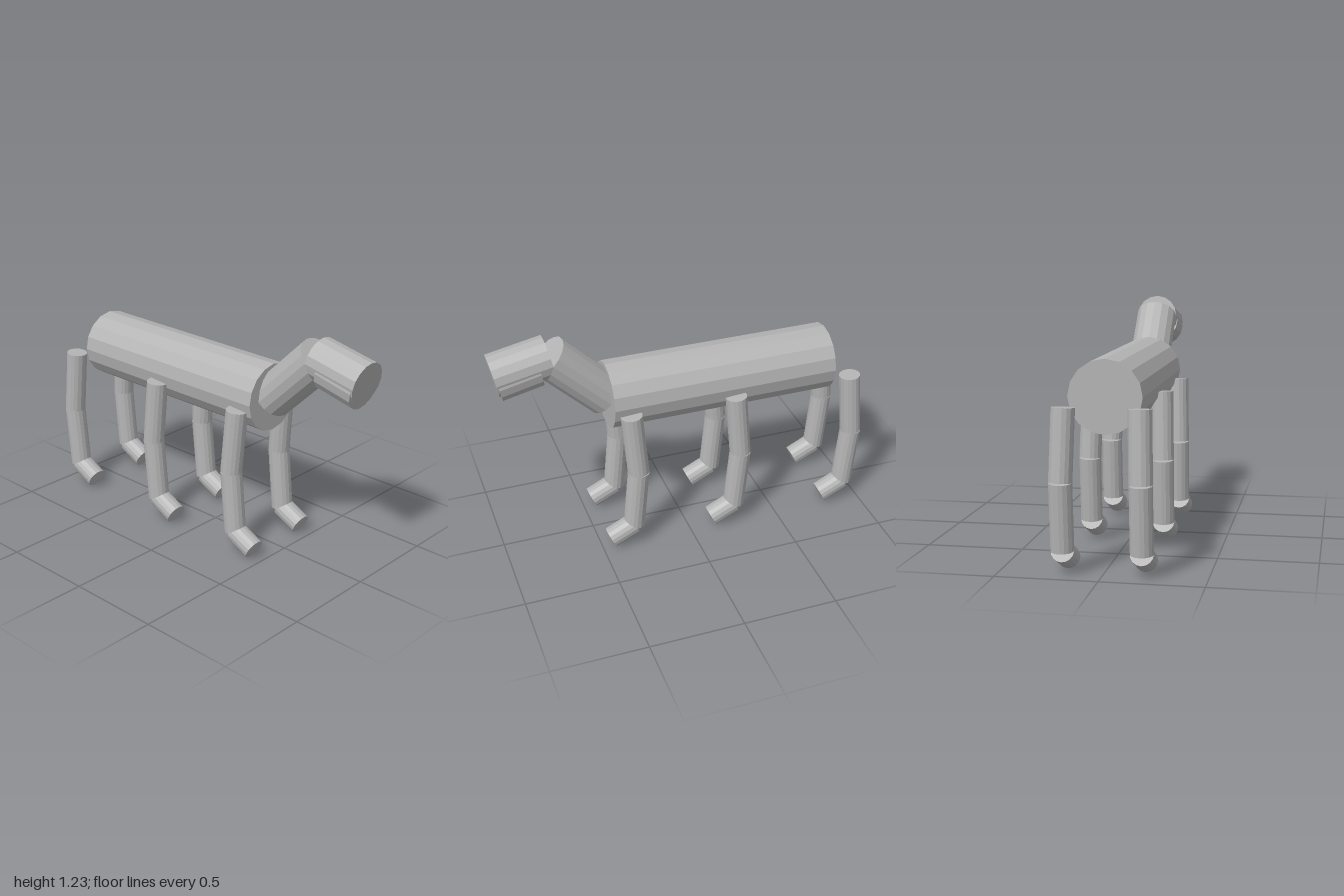
import * as THREE from 'three';

const grey = new THREE.MeshStandardMaterial({ color: 0xb4b4b4, flatShading: true });
grey.name = 'plain grey';

const UP = new THREE.Vector3(0, 1, 0);

// Straight sixteen-sided cylinder running from point a to point b
function limb(name, a, b, radius) {
  const start = new THREE.Vector3(...a);
  const end = new THREE.Vector3(...b);
  const axis = end.clone().sub(start);
  const mesh = new THREE.Mesh(
    new THREE.CylinderGeometry(radius, radius, axis.length(), 16), grey);
  mesh.name = name;
  mesh.position.copy(start).add(end).multiplyScalar(0.5);
  mesh.quaternion.setFromUnitVectors(UP, axis.normalize());
  return mesh;
}

// Thigh, shin and foot; side is +1 for left, -1 for right
function leg(name, side, z) {
  const group = new THREE.Group();
  group.name = name;
  group.position.z = z;
  const hip = [side * 0.181, 0.799, 0];
  const knee = [side * 0.19, 0.45, -0.028];
  const ankle = [side * 0.19, 0.117, 0.003];
  const toe = [side * 0.19, 0.052, 0.134];
  const r = 0.057;
  group.add(
    limb('thigh', hip, knee, r),
    limb('shin', knee, ankle, r),
    limb('foot', ankle, toe, r));
  return group;
}

export function createModel() {
  const model = new THREE.Group();
  model.name = 'sixLeggedCreature';

  // Body, neck and head
  const headRadius = 0.113;
  model.add(
    limb('body', [0, 0.84, -0.827], [0, 0.84, 0.4], 0.18),
    limb('neck', [0, 0.842, 0.4], [0, 1.124, 0.688], headRadius),
    limb('head', [0, 1.124, 0.688], [0, 1.066, 0.976], headRadius),
    limb('jaw', [0, 1.089, 0.749], [0, 1.04, 0.963], headRadius));

  // Three pairs of legs
  const pairs = { front: 0.316, middle: -0.257, rear: -0.911 };
  for (const [place, z] of Object.entries(pairs)) {
    model.add(leg(place + 'LeftLeg', 1, z), leg(place + 'RightLeg', -1, z));
  }
  return model;
}
